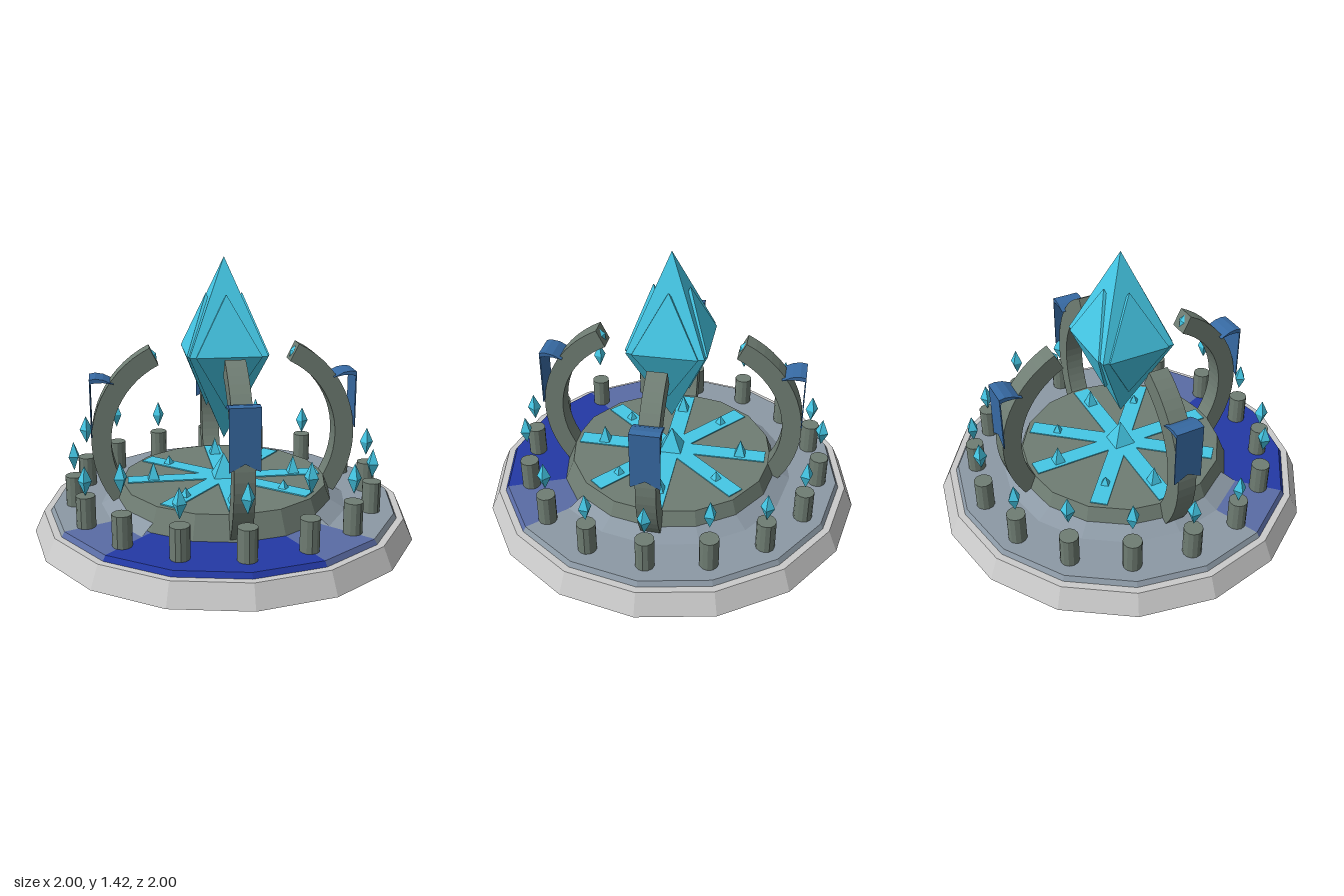
import * as THREE from 'three';

const mat = (color) => new THREE.MeshStandardMaterial({ color, flatShading: true });
const stone = mat(0x6f7d73);
const slabGrey = mat(0xcccccc);
const crystalMat = mat(0x45c8e6);
const cloth = new THREE.MeshStandardMaterial({ color: 0x376aa3, side: THREE.DoubleSide, flatShading: true });
const floorGrey = mat(0x8c99a5);
const floorMid = mat(0x5a6ca5);
const floorBlue = mat(0x2339a5);

function add(parent, name, geometry, material, x = 0, y = 0, z = 0) {
  const mesh = new THREE.Mesh(geometry, material);
  mesh.name = name;
  mesh.position.set(x, y, z);
  parent.add(mesh);
  return mesh;
}

// four-sided double pyramid with half extents hx, hy, hz
const bipyramid = (hx, hy, hz) =>
  new THREE.OctahedronGeometry(1).rotateY(Math.PI / 4).scale(Math.SQRT2 * hx, hy, Math.SQRT2 * hz);

// four-sided spike standing on y = 0
const spike = (half, height) =>
  new THREE.ConeGeometry(half * Math.SQRT2, height, 4).rotateY(Math.PI / 4).translate(0, height / 2, 0);

// curved arch cross-section, in the XY plane
function archGeometry() {
  const a0 = -0.77, a1 = 1.11;
  const shape = new THREE.Shape();
  shape.absarc(0.14, 0.48, 0.55, a0, a1, false);
  shape.absarc(0.14, 0.48, 0.45, a1, a0, true);
  shape.closePath();
  return new THREE.ExtrudeGeometry(shape, { depth: 0.1, bevelEnabled: false, curveSegments: 10 }).translate(0, 0, -0.05);
}

// hanging cloth with a notched hem, facing +x
function bannerGeometry() {
  const shape = new THREE.Shape();
  [[-0.073, 0.52], [0, 0.56], [0.073, 0.52], [0.073, 0.82], [-0.073, 0.82]]
    .forEach(([x, y], i) => (i ? shape.lineTo(x, y) : shape.moveTo(x, y)));
  shape.closePath();
  return new THREE.ExtrudeGeometry(shape, { depth: 0.006, bevelEnabled: false })
    .rotateY(Math.PI / 2).translate(0.685, 0, 0);
}

// top of the cloth folded back onto the arch
function foldGeometry() {
  const shape = new THREE.Shape();
  [[0.57, 0.795], [0.62, 0.805], [0.66, 0.805], [0.691, 0.8], [0.691, 0.822], [0.66, 0.827], [0.62, 0.82]]
    .forEach(([x, y], i) => (i ? shape.lineTo(x, y) : shape.moveTo(x, y)));
  shape.closePath();
  return new THREE.ExtrudeGeometry(shape, { depth: 0.146, bevelEnabled: false }).translate(0, 0, -0.073);
}

export function createModel() {
  const model = new THREE.Group();
  model.name = 'crystalShrine';
  const step = Math.PI / 8;

  // sixteen-sided base slab
  add(model, 'baseSlab', new THREE.CylinderGeometry(0.95, 1, 0.11, 16), slabGrey, 0, 0.055, 0);

  // raised floor in wedges, stained blue towards the front
  const floor = new THREE.Group();
  floor.name = 'floor';
  model.add(floor);
  for (let i = 0; i < 16; i++) {
    const material = i === 0 || i >= 14 ? floorBlue : i === 1 || i === 13 ? floorMid : floorGrey;
    add(floor, 'floorWedge', new THREE.CylinderGeometry(0.9, 0.915, 0.025, 1, 1, false, i * step, step),
      material, 0, 0.1225, 0);
  }

  // low bank of ground around the sides and back of the platform
  add(model, 'groundBank', new THREE.CylinderGeometry(0.56, 0.66, 0.055, 12, 1, false, 2 * step, 12 * step),
    floorGrey, 0, 0.1575, 0);

  // round platform with glowing inlaid rays
  add(model, 'platform', new THREE.CylinderGeometry(0.54, 0.59, 0.125, 16), stone, 0, 0.1925, 0);
  for (let i = 0; i < 8; i++) {
    const diagonal = i % 2 === 1;
    const ray = new THREE.Group();
    ray.name = 'ray';
    ray.rotation.y = -(i * Math.PI / 4 - (diagonal ? 0.087 : 0));
    model.add(ray);
    add(ray, 'rayInlay', new THREE.BoxGeometry(0.51, 0.01, 0.09), crystalMat, 0.255, 0.256, 0);
    add(ray, 'raySpike', diagonal ? spike(0.022, 0.05) : spike(0.03, 0.095), crystalMat, diagonal ? 0.36 : 0.375, 0.257, 0);
  }
  add(model, 'centreSpike', spike(0.06, 0.13), crystalMat, 0, 0.257, 0);

  // four arches with tip gems and banners
  const archGeo = archGeometry(), bannerGeo = bannerGeometry(), foldGeo = foldGeometry();
  for (let i = 0; i < 4; i++) {
    const arch = new THREE.Group();
    arch.name = 'archWithBanner';
    arch.rotation.y = i * Math.PI / 2;
    model.add(arch);
    add(arch, 'arch', archGeo, stone);
    const gem = add(arch, 'tipGem', new THREE.OctahedronGeometry(1).scale(0.035, 0.015, 0.025), crystalMat, 0.362, 0.928, 0);
    gem.rotation.z = 1.11;
    add(arch, 'banner', bannerGeo, cloth);
    add(arch, 'bannerFold', foldGeo, cloth);
  }

  // ring of short pillars, each with a floating crystal
  const heights = [0.41, 0.39, 0.41, 0.49, 0.43, 0.4, 0.47, 0.37, 0.4, 0.45, 0.46, 0.4, 0.46, 0.4, 0.38, 0.44];
  heights.forEach((h, i) => {
    const x = 0.785 * Math.cos(i * step), z = 0.785 * Math.sin(i * step) - 0.012;
    add(model, 'pillar', new THREE.CylinderGeometry(0.048, 0.048, 0.165, 12), stone, x, 0.2125, z);
    const crystal = add(model, 'smallCrystal', bipyramid(0.025, 0.077, 0.025), crystalMat, x, h, z);
    crystal.rotation.y = i * 0.9 + 0.6;
  });

  // large floating crystal with four facets growing out of it
  const heart = new THREE.Group();
  heart.name = 'greatCrystal';
  heart.position.y = 0.945;
  model.add(heart);
  add(heart, 'crystalCore', bipyramid(0.197, 0.475, 0.197), crystalMat);
  for (let i = 0; i < 4; i++) {
    const side = new THREE.Group();
    side.name = 'crystalFacet';
    side.rotation.y = i * Math.PI / 2;
    heart.add(side);
    add(side, 'facetCrystal', bipyramid(0.115, 0.295, 0.165), crystalMat, 0.092, 0, 0);
  }
  return model;
}
